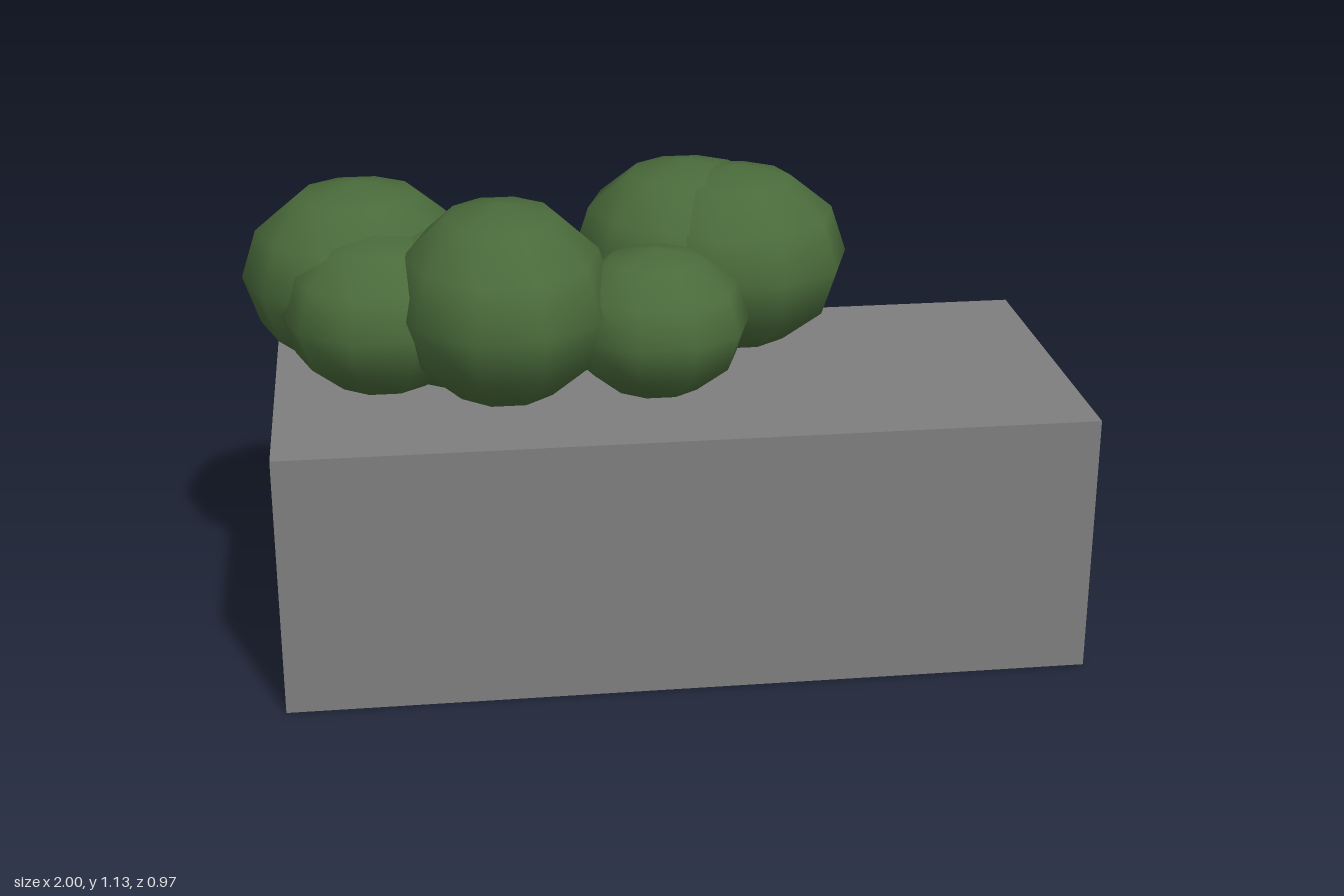
import * as THREE from 'three';

export function createModel() {
  const model = new THREE.Group();
  const stone = new THREE.MeshStandardMaterial({ name: 'grey stone', color: 0x7f7f7f });
  const leaf = new THREE.MeshStandardMaterial({ name: 'leaf green', color: 0x4a6b3b });

  // Solid planter block
  const block = new THREE.Mesh(new THREE.BoxGeometry(1.93, 0.645, 0.855), stone);
  block.name = 'planterBlock';
  block.position.set(0.035, 0.3225, 0.0575);
  model.add(block);

  // Bushes: squashed low-poly spheres resting on the block
  const bushes = new THREE.Group();
  bushes.name = 'bushes';
  const ball = new THREE.SphereGeometry(1, 10, 6);
  const layout = [
    // centre x, z, then radii x, y, z
    [-0.71, -0.12, 0.29, 0.235, 0.29],
    [-0.378, 0.15, 0.266, 0.242, 0.315],
    [0.22, -0.155, 0.29, 0.233, 0.29],
    [0.112, -0.207, 0.29, 0.235, 0.295],
    [-0.015, 0.165, 0.226, 0.181, 0.226],
    [-0.665, 0.06, 0.24, 0.197, 0.242],
    [-0.47, 0.04, 0.265, 0.2, 0.25],
  ];
  layout.forEach(([x, z, rx, ry, rz], i) => {
    const bush = new THREE.Mesh(ball, leaf);
    bush.name = `bush${i + 1}`;
    bush.position.set(x, 0.645 + ry, z);
    bush.scale.set(rx, ry, rz);
    bushes.add(bush);
  });
  model.add(bushes);

  return model;
}
